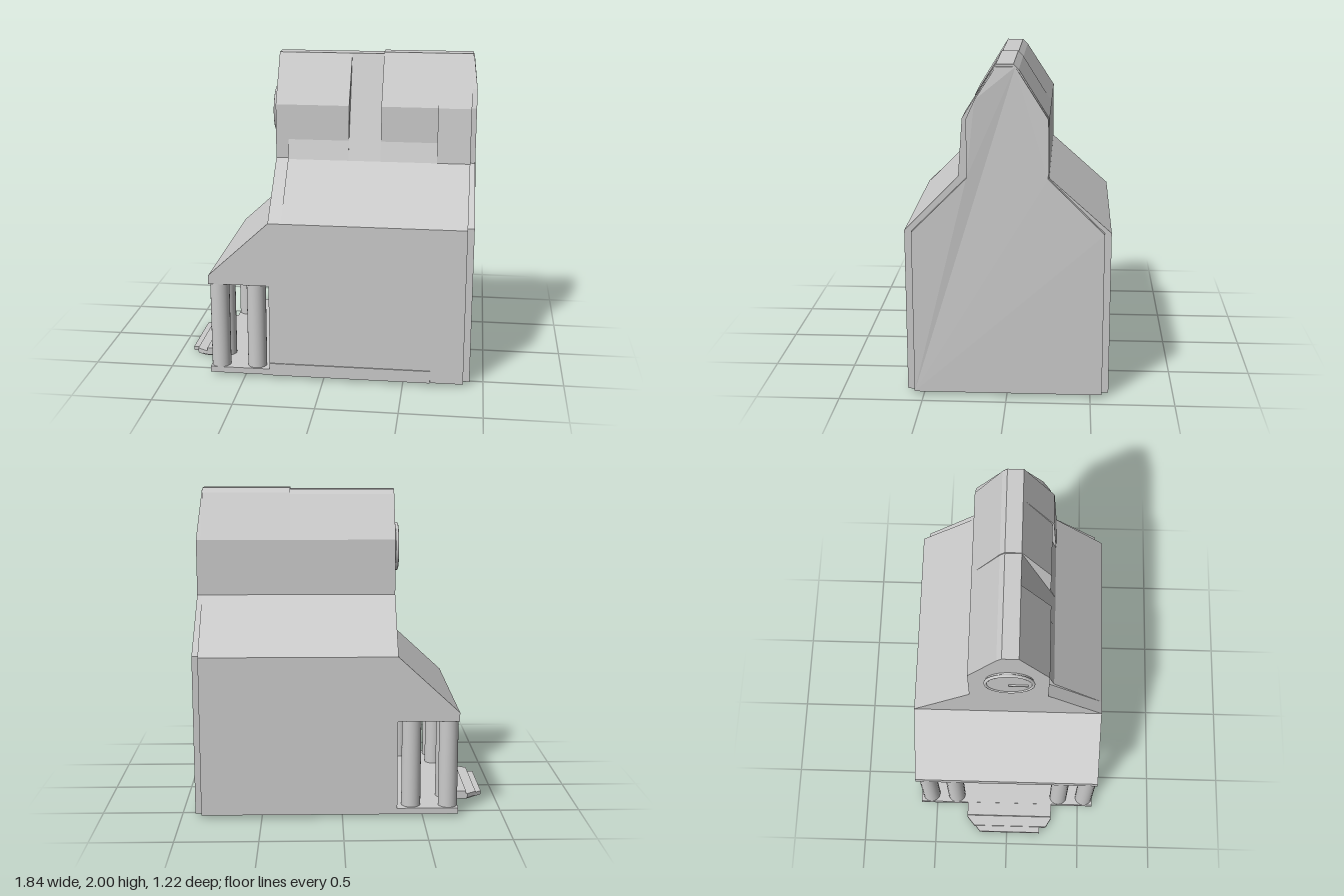
import * as THREE from 'three';

export function createModel() {
  const model = new THREE.Group();
  const material = new THREE.MeshStandardMaterial({ color: 0xcccccc });
  const add = (name, geometry) => {
    const mesh = new THREE.Mesh(geometry, material);
    mesh.name = name;
    model.add(mesh);
    return mesh;
  };
  const extrude = (points, depth) => new THREE.ExtrudeGeometry(
    new THREE.Shape(points.map(([a, b]) => new THREE.Vector2(a, b))),
    { depth, bevelEnabled: false });
  // Extrude a (z, y) outline along x
  const alongX = (name, x0, x1, points) =>
    add(name, extrude(points, x1 - x0).rotateY(-Math.PI / 2).translate(x1, 0, 0));
  // Extrude an (x, y) outline along z
  const alongZ = (name, z0, z1, points) =>
    add(name, extrude(points, z1 - z0).translate(0, 0, z0));
  // Extrude an (x, z) outline upwards
  const alongY = (name, y0, y1, points) =>
    add(name, extrude(points, y1 - y0).rotateX(Math.PI / 2).translate(0, y1, 0));

  // Barn body: stepped gable slices that differ only in the upper front
  const barnOutline = (upperFront, ridge) => [
    [0.6, 0.02], [0.6, 1.02], ...upperFront,
    [0.06, ridge], [-0.04, ridge], [-0.07, ridge - 0.03],
    [-0.245, 1.69], [-0.245, 1.345], [-0.61, 1.02], [-0.61, 0.02],
  ];
  const straight = [[0.245, 1.35], [0.245, 1.69]];
  const flared = [[0.28, 1.35], [0.245, 1.47], [0.245, 1.69]];
  const sloped = [[0.28, 1.35]];
  const bulged = [[0.28, 1.35], [0.255, 1.69]];
  [
    [-0.34, -0.26, straight, 1.99],
    [-0.26, 0.12, flared, 1.99],
    [0.12, 0.32, sloped, 1.99],
    [0.32, 0.67, flared, 2],
    [0.67, 0.875, bulged, 2],
  ].forEach(([x0, x1, front, ridge]) => alongX('barnBody', x0, x1, barnOutline(front, ridge)));

  // Inset end panel, leaning in slightly towards its top
  const panel = alongX('endPanel', 0.87, 0.915, [
    [0.555, 0.02], [0.555, 1.02], [0.23, 1.345], [0.23, 1.69], [0.18, 1.8], [0.06, 1.985],
    [-0.05, 1.985], [-0.24, 1.69], [-0.24, 1.345], [-0.57, 1.02], [-0.57, 0.02],
  ]);
  const pos = panel.geometry.attributes.position;
  for (let i = 0; i < pos.count; i++) {
    const y = pos.getY(i);
    if (pos.getX(i) > 0.9 && y > 1.1) pos.setX(i, 0.915 - (y > 1.9 ? 0.035 : 0.01));
  }
  panel.geometry.computeVertexNormals();

  // Base board along the front
  add('baseBoard', new THREE.BoxGeometry(1.01, 0.08, 0.02).translate(0.165, 0.06, 0.597));

  // Porch roof and floor
  alongZ('porchRoof', -0.61, 0.6, [[-0.34, 0.615], [-0.34, 1.02], [-0.72, 0.67], [-0.72, 0.615]]);
  add('porchFloor', new THREE.BoxGeometry(0.385, 0.038, 1.21).translate(-0.5275, 0.039, -0.005));

  // Porch columns, three on each side
  for (const side of [-1, 1]) {
    for (const [x, z] of [[-0.66, 0.54], [-0.66, 0.36], [-0.43, 0.53]]) {
      add('porchColumn', new THREE.CylinderGeometry(0.06, 0.06, 0.56, 24).translate(x, 0.337, side * z));
    }
  }

  // Entrance steps with clipped corners
  alongY('upperStep', 0.015, 0.055, [[-0.7, -0.28], [-0.7, 0.31], [-0.81, 0.31], [-0.81, -0.28]]);
  alongY('middleStep', 0.008, 0.035, [
    [-0.75, -0.28], [-0.75, 0.31], [-0.82, 0.31], [-0.88, 0.275], [-0.88, -0.23], [-0.82, -0.28],
  ]);
  alongY('lowerStep', 0, 0.024, [
    [-0.75, -0.28], [-0.75, 0.3], [-0.82, 0.3], [-0.88, 0.27], [-0.88, 0.23], [-0.92, 0.23],
    [-0.92, -0.19], [-0.82, -0.27],
  ]);

  // Round gable window with a thin rim and handle
  add('roundWindow', new THREE.CylinderGeometry(0.145, 0.145, 0.025, 40)
    .rotateZ(Math.PI / 2).translate(-0.35, 1.62, 0.005));
  add('windowRim', new THREE.TorusGeometry(0.145, 0.01, 8, 40)
    .rotateY(Math.PI / 2).translate(-0.36, 1.62, 0.005));
  add('windowHandle', new THREE.BoxGeometry(0.015, 0.012, 0.12).translate(-0.365, 1.61, 0.06));

  return model;
}
